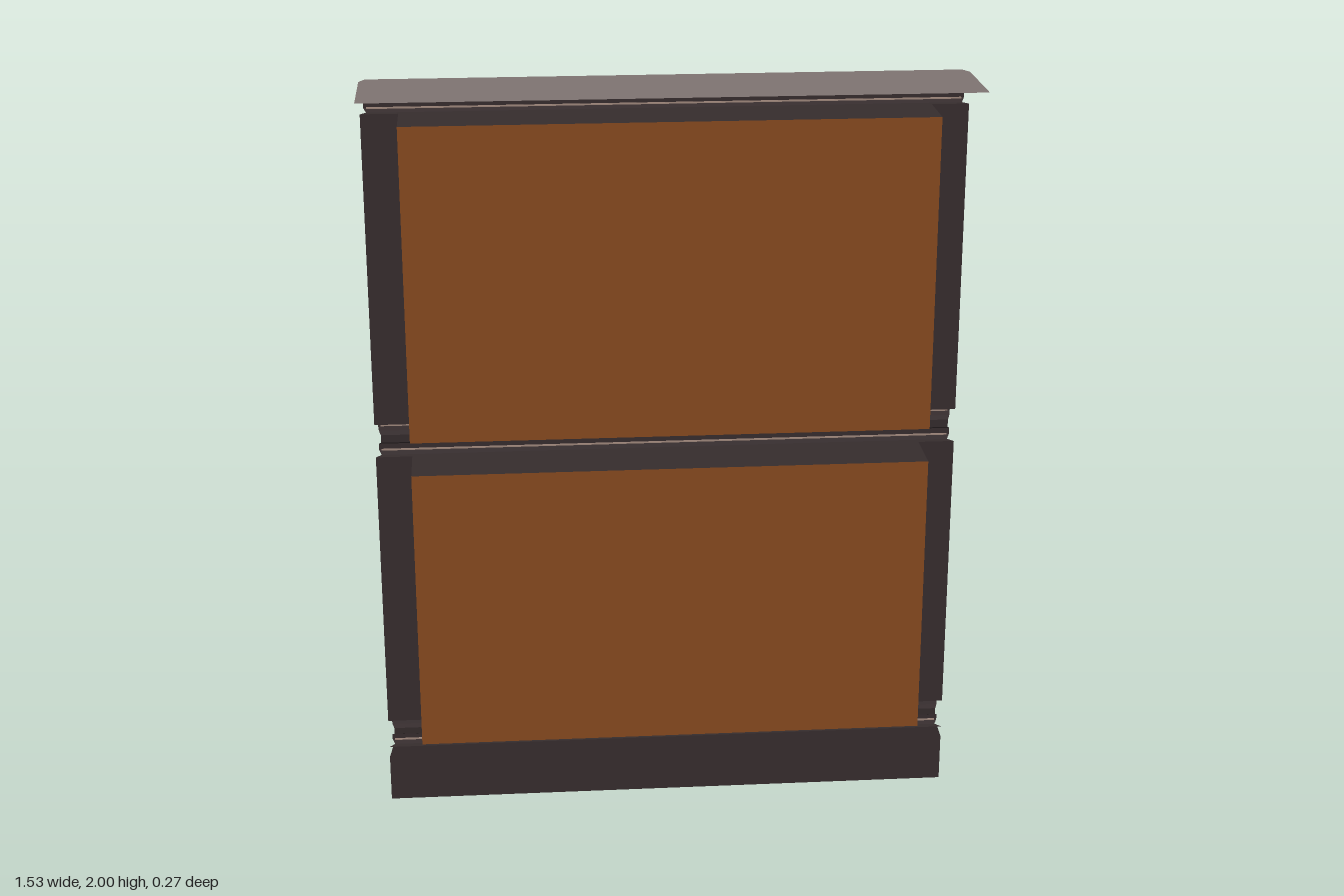
import * as THREE from 'three';

const mat = (name, color) => {
  const m = new THREE.MeshStandardMaterial({ color, side: THREE.DoubleSide });
  m.name = name;
  return m;
};

export function createModel() {
  const brown = mat('dark brown', 0x352c2d);
  const taupe = mat('taupe', 0x7e7371);
  const rose = mat('rose stone', 0x9c857a);
  const orange = mat('burnt orange', 0x84481e);
  const navy = mat('navy', 0x1f204e);

  const model = new THREE.Group();
  model.name = 'colonnadePanel';

  const add = (parent, name, geo, material, x = 0, y = 0, z = 0) => {
    const m = new THREE.Mesh(geo, material);
    m.name = name;
    m.position.set(x, y, z);
    parent.add(m);
    return m;
  };
  const box = (parent, name, material, w, h, d, x, y, z) =>
    add(parent, name, new THREE.BoxGeometry(w, h, d), material, x, y, z);

  // Prism along x from a [z, y] section
  const prism = (pts, width) => {
    const shape = new THREE.Shape(pts.map(p => new THREE.Vector2(p[0], p[1])));
    return new THREE.ExtrudeGeometry(shape, { depth: width, bevelEnabled: false })
      .rotateY(-Math.PI / 2).translate(width / 2, 0, 0);
  };

  // Open strip along x following [z, y, halfWidth] points
  const strip = (pts) => {
    const pos = [];
    for (let i = 0; i < pts.length - 1; i++) {
      const [z0, y0, a] = pts[i], [z1, y1, b] = pts[i + 1];
      pos.push(-a, y0, z0, -b, y1, z1, b, y1, z1, -a, y0, z0, b, y1, z1, a, y0, z0);
    }
    const g = new THREE.BufferGeometry();
    g.setAttribute('position', new THREE.Float32BufferAttribute(pos, 3));
    g.computeVertexNormals();
    return g;
  };

  const back = 0.04, face = -0.105, half = 0.67, depth = back - face, midZ = (back + face) / 2;

  // Half-round drum engaged in the back wall
  const drum = (parent, name, material, rTop, rBottom, y0, y1) =>
    add(parent, name, new THREE.CylinderGeometry(rTop, rBottom, y1 - y0, 10, 1, false, Math.PI / 2, Math.PI),
      material, 0, (y0 + y1) / 2, back - 0.002);

  // Box reaching from the back wall out to zFront
  const wallBox = (parent, name, material, w, y0, y1, zFront) =>
    box(parent, name, material, w, y1 - y0, back - 0.002 - zFront, 0, (y0 + y1) / 2, (back - 0.002 + zFront) / 2);

  // Stepped block with a sloping top
  const makeBlock = (name, w) => {
    const g = new THREE.Group();
    g.name = name;
    wallBox(g, 'blockBody', brown, w, 0, 0.06, -0.034);
    wallBox(g, 'blockBand', rose, w + 0.006, 0.036, 0.046, -0.038);
    add(g, 'blockSlope', prism([[-0.034, 0.0605], [0.038, 0.0605], [0.038, 0.1]], w), taupe);
    return g;
  };

  // Engaged column, tapering downward, with pedestal and capital
  const makeColumn = () => {
    const g = new THREE.Group();
    g.name = 'column';
    wallBox(g, 'pedestal', brown, 0.15, 0.06, 0.14, -0.038);
    wallBox(g, 'pedestalBand', rose, 0.156, 0.105, 0.115, -0.042);
    drum(g, 'columnBase', brown, 0.05, 0.064, 0.14, 0.19);
    drum(g, 'shaft', navy, 0.053, 0.042, 0.19, 0.56);
    drum(g, 'echinus', brown, 0.064, 0.055, 0.56, 0.585);
    wallBox(g, 'capitalBand', rose, 0.156, 0.585, 0.6, -0.042);
    wallBox(g, 'abacus', brown, 0.15, 0.6, 0.66, -0.038);
    return g;
  };

  // One recessed bay, drawn at a height of 0.82
  const makeTier = (name, y, height) => {
    const H = 0.82;
    const t = new THREE.Group();
    t.name = name;
    t.position.y = y;
    t.scale.y = height / H;
    add(t, 'backWall', new THREE.PlaneGeometry(half * 2, H), orange, 0, H / 2, back);
    for (const [part, py] of [['underside', 0], ['ceiling', H]]) {
      add(t, part, new THREE.PlaneGeometry(half * 2, depth).rotateX(Math.PI / 2), brown, 0, py, midZ);
    }
    for (const s of [-1, 1]) {
      add(t, 'sideWall', new THREE.PlaneGeometry(depth, H).rotateY(-s * Math.PI / 2), brown, s * half, H / 2, midZ);
      add(t, 'jamb', new THREE.PlaneGeometry(0.095, H).rotateY(Math.PI), brown, s * 0.7175, H / 2, face);
    }
    // Sloping sill, sloping soffit and its bright fillet
    const inner = half - 0.002;
    add(t, 'sill', strip([[face, 0.002, inner], [-0.03, 0.08, inner], [back - 0.002, 0.1, inner]]), taupe);
    add(t, 'soffit', prism([[-0.08, 0.815], [-0.08, 0.74], [0.038, 0.625], [0.038, 0.815]], inner * 2), brown);
    box(t, 'fillet', rose, half * 2 - 0.01, 0.04, 0.012, 0, 0.765, -0.084);

    for (const x of [-0.45, 0, 0.45]) {
      const c = makeColumn();
      c.position.x = x;
      t.add(c);
    }
    for (const [x, w] of [[-0.61, 0.1], [-0.225, 0.22], [0.225, 0.22], [0.61, 0.1]]) {
      const low = makeBlock('lowerBlock', w);
      low.position.set(x, 0.085, 0);
      const high = makeBlock('upperBlock', w);
      high.rotation.z = Math.PI;
      high.position.set(x, 0.645, 0);
      t.add(low, high);
    }
    model.add(t);
  };
  makeTier('lowerTier', 0.24, 0.77);
  makeTier('upperTier', 1.1, 0.82);

  // Horizontal mouldings, returning to the wall face
  for (const [name, y, h] of [['bottomMoulding', 0.16, 0.08], ['middleMoulding', 1.01, 0.09], ['topMoulding', 1.92, 0.078]]) {
    const profile = [[face, 0, 0.765], [-0.122, 0, 0.75], [-0.134, 0.12, 0.757], [-0.134, 0.3, 0.757], [-0.122, 0.38, 0.75],
      [-0.12, 0.62, 0.75], [-0.13, 0.72, 0.755], [-0.138, 0.85, 0.757], [-0.138, 1, 0.75], [face, 1, 0.765]];
    add(model, name, strip(profile.map(([z, v, w]) => [z, y + v * h, w])), brown);
    for (const [v, z] of [[0.12, -0.133], [0.86, -0.137]]) {
      box(model, name + 'Line', rose, 1.5, 0.004, 0.005, 0, y + v * h, z);
    }
  }

  // Plain base board
  add(model, 'baseBoard', strip([[face, 0, 0.765], [face, 0.13, 0.765], [face, 0.16, 0.755]]), brown);

  // Roof sheet with clipped rear corners
  const roof = new THREE.Shape([[-0.765, -0.135], [0.765, -0.135], [0.765, 0.11], [0.75, 0.139], [-0.75, 0.139], [-0.765, 0.11]]
    .map(p => new THREE.Vector2(p[0], p[1])));
  add(model, 'roofSheet', new THREE.ShapeGeometry(roof).rotateX(-Math.PI / 2), taupe, 0, 2, 0);

  return model;
}
